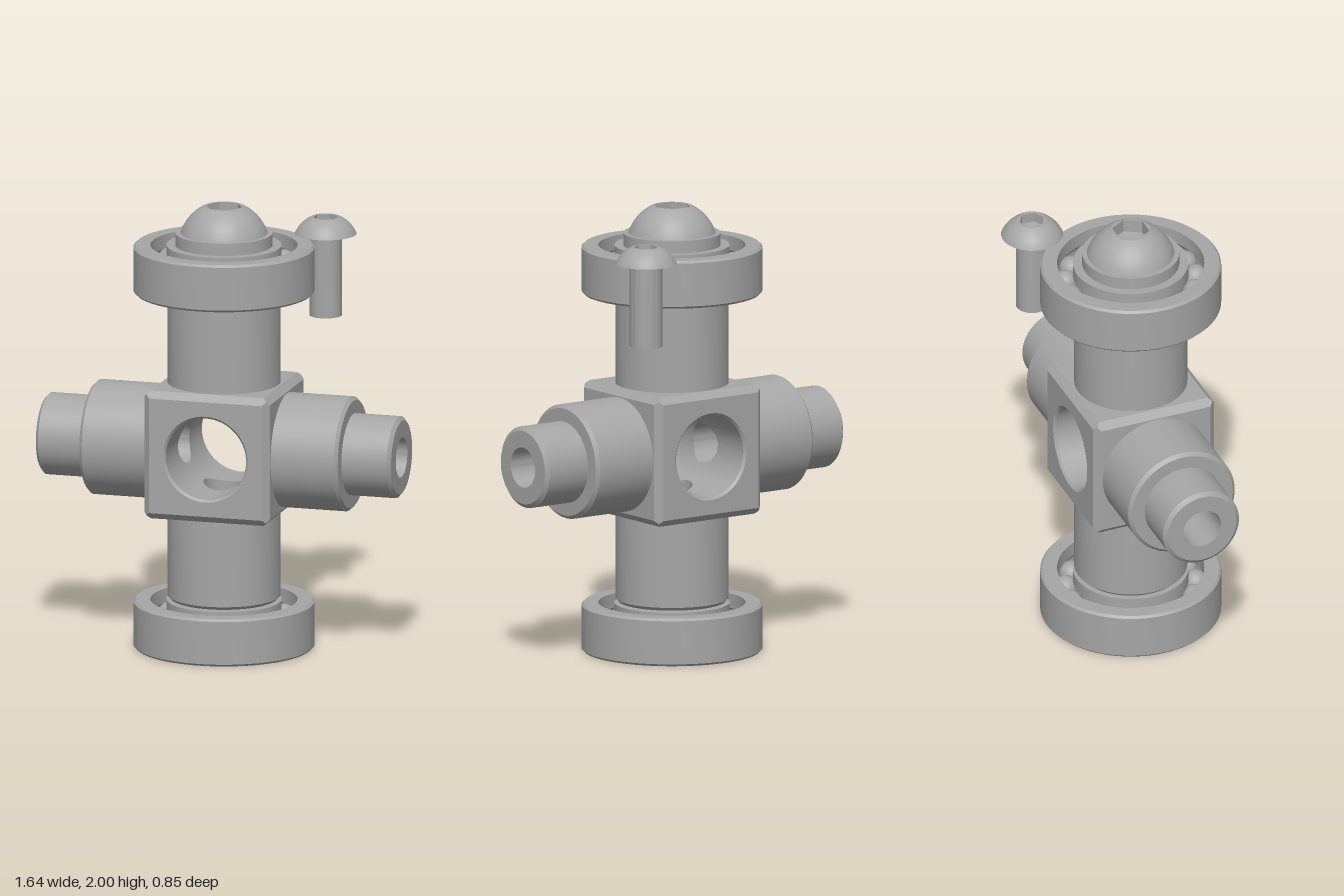
import * as THREE from 'three';
import { toCreasedNormals } from 'three/addons/utils/BufferGeometryUtils.js';
import { ConvexGeometry } from 'three/addons/geometries/ConvexGeometry.js';

const steel = new THREE.MeshStandardMaterial({ color: 0xa6a6a6, side: THREE.DoubleSide });
steel.name = 'steel grey';

const CUBE = 0.29, CHAMFER = 0.03;   // half size of the hub and its edge chamfer
const WINDOW = 0.185, BORE = 0.09;   // radii of the cross hole and the arm bores
const SEG = 64;

function add(parent, name, geometry) {
  const mesh = new THREE.Mesh(geometry, steel);
  mesh.name = name;
  parent.add(mesh);
  return mesh;
}

function group(parent, name, x = 0, y = 0, z = 0) {
  const g = new THREE.Group();
  g.name = name;
  g.position.set(x, y, z);
  parent.add(g);
  return g;
}

function lathe(points, segments = SEG) {
  const profile = points.map(([r, y]) => new THREE.Vector2(r, y));
  return toCreasedNormals(new THREE.LatheGeometry(profile, segments), 0.45);
}

// Surface through rows of points
function loft(rows) {
  const n = rows[0].length, index = [];
  for (let i = 0; i < rows.length - 1; i++) {
    for (let j = 0; j < n - 1; j++) {
      const a = i * n + j, b = a + n;
      index.push(a, a + 1, b, b, a + 1, b + 1);
    }
  }
  const g = new THREE.BufferGeometry();
  g.setAttribute('position', new THREE.Float32BufferAttribute(rows.flat(2), 3));
  g.setIndex(index);
  return toCreasedNormals(g, 0.6);
}

// Quarter of the cross-hole wall around one bore, axis of the bore along +y
function boreWall() {
  const rows = [], half = CUBE - 0.01;
  for (let i = 0; i <= 8; i++) {
    const row = [];
    for (let j = 0; j <= SEG; j++) {
      const p = j / SEG * Math.PI * 2, c = Math.cos(p), s = Math.sin(p);
      const k = 1 / Math.max(Math.abs(c), Math.abs(s));
      const t = i / 8;
      const angle = THREE.MathUtils.lerp(Math.asin(BORE * s / WINDOW), k * s * Math.PI / 4, t);
      const z = THREE.MathUtils.lerp(BORE * c, k * c * half, t);
      row.push([WINDOW * Math.sin(angle), WINDOW * Math.cos(angle), z]);
    }
    rows.push(row);
  }
  return loft(rows);
}

// Bore from the cross hole out to the arm tip
function boreTube(tip) {
  const inner = [], outer = [];
  for (let j = 0; j <= SEG; j++) {
    const p = j / SEG * Math.PI * 2, x = BORE * Math.sin(p), z = BORE * Math.cos(p);
    inner.push([x, Math.sqrt(WINDOW * WINDOW - x * x), z]);
    outer.push([x, tip, z]);
  }
  return loft([inner, outer]);
}

function buildHub(parent) {
  const hub = group(parent, 'hub');
  const H = CUBE, a = H - CHAMFER, m = H - CHAMFER / 2, pts = [];
  for (const x of [-1, 1]) for (const y of [-1, 1]) for (const z of [-1, 1]) {
    for (const [i, j, k] of [[H, a, a], [a, H, a], [a, a, H], [m, m, m]]) {
      pts.push(new THREE.Vector3(x * i, y * j, z * k));
    }
  }
  // Keep only the sloped chamfers of the block
  const block = new ConvexGeometry(pts), P = block.attributes.position, keep = [];
  const tri = new THREE.Triangle(), n = new THREE.Vector3();
  for (let i = 0; i < P.count; i += 3) {
    tri.setFromAttributeAndIndices(P, i, i + 1, i + 2).getNormal(n);
    if (Math.max(Math.abs(n.x), Math.abs(n.y), Math.abs(n.z)) < 0.95) {
      for (const v of [tri.a, tri.b, tri.c]) keep.push(v.x, v.y, v.z);
    }
  }
  const chamfers = new THREE.BufferGeometry();
  chamfers.setAttribute('position', new THREE.Float32BufferAttribute(keep, 3));
  chamfers.computeVertexNormals();
  add(hub, 'hubChamfers', chamfers);

  // Six pierced faces
  const face = (radius) => {
    const s = new THREE.Shape([[-a, -a], [a, -a], [a, a], [-a, a]].map(([x, y]) => new THREE.Vector2(x, y)));
    s.holes.push(new THREE.Path().absarc(0, 0, radius, 0, Math.PI * 2, true));
    return new THREE.ShapeGeometry(s, 32).translate(0, 0, H);
  };
  for (let i = 0; i < 4; i++) {
    const r = i % 2 ? BORE : WINDOW + 0.01;
    add(hub, 'hubFace', face(r)).rotation.y = i * Math.PI / 2;
  }
  for (const s of [-1, 1]) {
    add(hub, 'hubFace', face(BORE)).rotation.x = s * Math.PI / 2;
    const lip = lathe([[WINDOW, H - 0.01], [WINDOW + 0.01, H]]);
    add(hub, 'windowLip', lip).rotation.x = s * Math.PI / 2;
  }
}

// Stepped arm pointing along +y, turned into place
function buildArm(parent, name, turn, radius, shoulder, tipRadius, tip) {
  const arm = group(parent, name);
  arm.rotation.z = turn;
  add(arm, 'armBody', lathe([
    [radius, CUBE - 0.03], [radius, shoulder - 0.015], [radius - 0.015, shoulder], [tipRadius, shoulder],
    [tipRadius, tip - 0.015], [tipRadius - 0.018, tip], [BORE, tip],
  ]));
  add(arm, 'armBore', boreTube(tip));
  add(arm, 'windowWall', boreWall());
}

function buildBearing(parent, name, y) {
  const bearing = group(parent, name, 0, y, 0);
  const h = 0.107, c = 0.01, track = 0.29, ball = 0.055;
  // Half-round raceway cut into a ring wall of radius r
  const race = (r, dir) => {
    const limit = Math.acos(Math.abs(r - track) / ball), out = [];
    for (let i = 0; i <= 10; i++) {
      const t = limit * (1 - i / 5);
      out.push([track + dir * ball * Math.cos(t), ball * Math.sin(t)]);
    }
    return out;
  };
  add(bearing, 'outerRing', lathe([
    [0.4, -h + c], [0.4, h - c], [0.4 - c, h], [0.325, h],
    ...race(0.325, 1), [0.325, -h], [0.4 - c, -h], [0.4, -h + c],
  ], 80));
  add(bearing, 'innerRing', lathe([
    [0.2, -h], [0.2, h], [0.255, h], ...race(0.255, -1), [0.255, -h], [0.2, -h],
  ]));
  const sphere = new THREE.SphereGeometry(ball, 24, 16);
  for (let i = 0; i < 15; i++) {
    const t = i / 15 * Math.PI * 2;
    add(bearing, 'ball', sphere).position.set(track * Math.sin(t), 0, -track * Math.cos(t));
  }
}

// Domed screw head with a hexagonal socket, base at y = 0
function buildHead(parent, radius, flat, height, hex, depth, turn) {
  const centre = (height * height + flat * flat - radius * radius) / (2 * height);
  const R = Math.hypot(radius, centre);
  const dome = [[0, 0], [radius, 0]];
  for (let i = 1; i <= 12; i++) {
    const y = height * i / 12;
    dome.push([Math.sqrt(R * R - (y - centre) ** 2), y]);
  }
  add(parent, 'headDome', lathe(dome));
  const top = new THREE.Shape().absarc(0, 0, flat, 0, Math.PI * 2, false);
  const corners = [];
  for (let i = 0; i < 6; i++) {
    const t = i * Math.PI / 3 + turn;
    corners.push(new THREE.Vector2(hex * Math.sin(t), -hex * Math.cos(t)));
  }
  top.holes.push(new THREE.Path(corners));
  add(parent, 'headTop', new THREE.ShapeGeometry(top, 32).rotateX(-Math.PI / 2).translate(0, height, 0));
  const socket = lathe([[hex, height], [hex, height - depth], [0, height - depth * 1.3]], 6);
  add(parent, 'hexSocket', socket).rotation.y = turn;
}

export function createModel() {
  const model = new THREE.Group();
  model.name = 'crossJoint';

  // Hub with four arms
  const joint = group(model, 'joint', 0, 0.915, 0.025);
  buildHub(joint);
  buildArm(joint, 'leftArm', -Math.PI / 2, 0.255, 0.595, 0.182, 0.818);
  buildArm(joint, 'rightArm', Math.PI / 2, 0.255, 0.595, 0.182, 0.818);
  buildArm(joint, 'upperArm', 0, 0.25, 0.692, 0.2, 0.908);
  buildArm(joint, 'lowerArm', Math.PI, 0.25, 0.692, 0.2, 0.908);
  buildBearing(joint, 'upperBearing', 0.803);
  buildBearing(joint, 'lowerBearing', -0.805);

  // Washer and large screw on top
  add(joint, 'washer', lathe([[0, 0.905], [0.215, 0.905], [0.215, 0.965], [0, 0.965]]));
  const cap = group(joint, 'capScrew', 0, 0.965, 0);
  buildHead(cap, 0.193, 0.088, 0.12, 0.084, 0.06, Math.PI / 6);

  // Loose small screw
  const screw = group(model, 'smallScrew', 0.375, 1.83, -0.29);
  buildHead(screw, 0.137, 0.065, 0.075, 0.057, 0.045, 0);
  add(screw, 'screwShank', lathe([[0, -0.37], [0.072, -0.37], [0.072, 0]], 48));
  return model;
}
